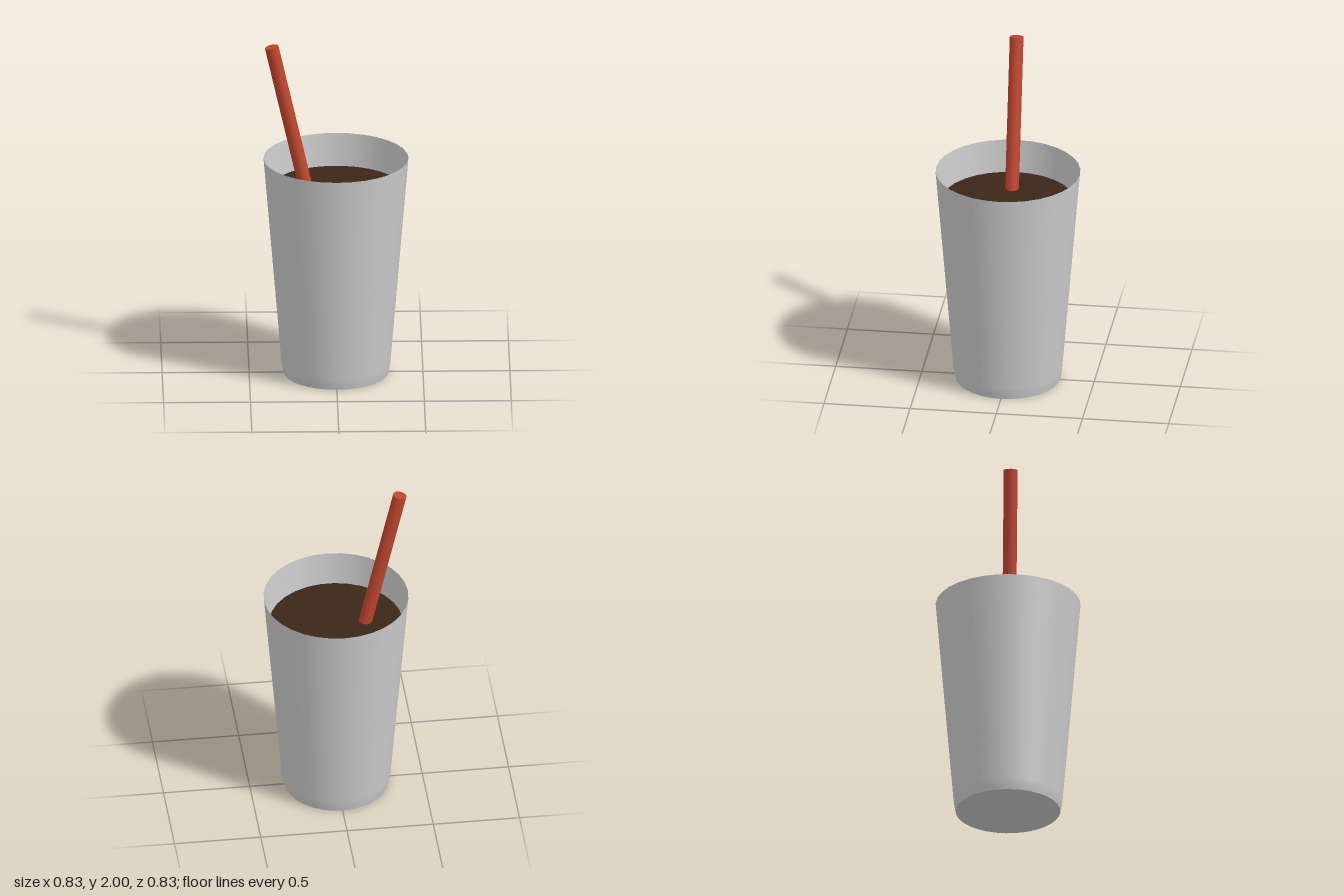
import * as THREE from 'three';

const material = (color) => new THREE.MeshStandardMaterial({ color, side: THREE.DoubleSide });

function addMesh(group, name, geometry, mat) {
  const mesh = new THREE.Mesh(geometry, mat);
  mesh.name = name;
  group.add(mesh);
  return mesh;
}

export function createModel() {
  const group = new THREE.Group();
  group.name = 'drinkingCup';
  const grey = material(0xcccccc);

  // Thin tapered wall, tucked in slightly at the foot
  const profile = [[0.301, 0], [0.309, 0.035], [0.314, 0.07], [0.417, 1.31]]
    .map(([r, y]) => new THREE.Vector2(r, y));
  addMesh(group, 'cupWall', new THREE.LatheGeometry(profile, 32), grey);

  // Flat base, facing down
  addMesh(group, 'cupBase', new THREE.CircleGeometry(0.301, 32).rotateX(Math.PI / 2), grey);

  // Surface of the drink
  const drink = addMesh(group, 'drinkSurface',
    new THREE.CircleGeometry(0.385, 30).rotateX(-Math.PI / 2), material(0x3b2719));
  drink.position.y = 1.12;

  // Straw leaning to the right, running down into the drink
  const top = new THREE.Vector3(-0.37, 1.991, 0);
  const bottom = new THREE.Vector3(0.07, 0.06, 0);
  const axis = top.clone().sub(bottom);
  const straw = addMesh(group, 'straw',
    new THREE.CylinderGeometry(0.04, 0.04, axis.length(), 12), material(0xc0452f));
  straw.position.copy(top).add(bottom).multiplyScalar(0.5);
  straw.quaternion.setFromUnitVectors(new THREE.Vector3(0, 1, 0), axis.normalize());

  return group;
}
